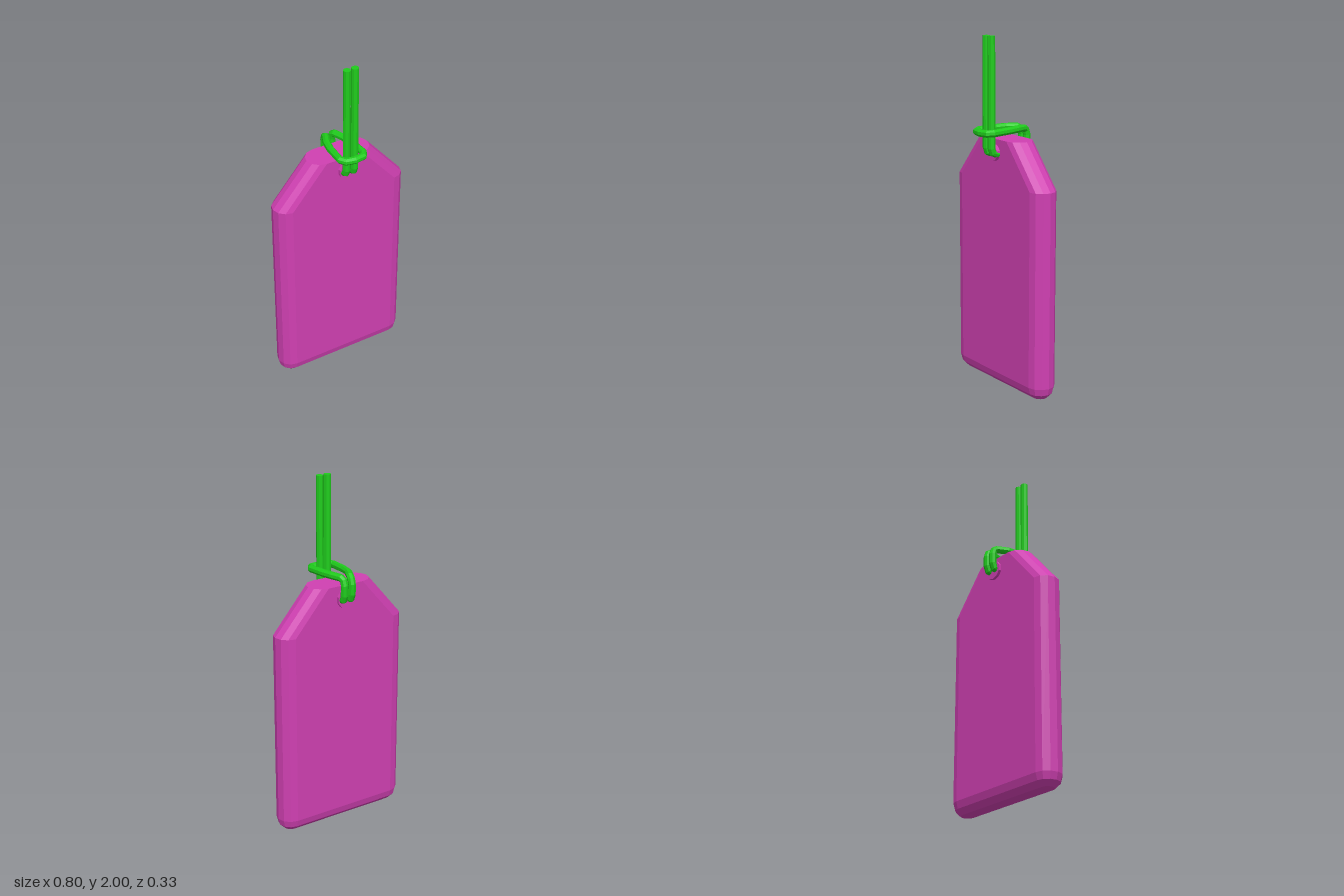
import * as THREE from 'three';

const PINK = 0xd040b2, GREEN = 0x1fcc1c;
const mat = (color) => new THREE.MeshStandardMaterial({ color, flatShading: true });

// Straight-segmented path that puts exactly one tube ring on each point
class Polyline extends THREE.Curve {
  constructor(points) { super(); this.points = points; }
  getPointAt(u) { return this.points[Math.round(u * (this.points.length - 1))].clone(); }
  getTangentAt(u) {
    const p = this.points, i = Math.round(u * (p.length - 1)), t = new THREE.Vector3();
    if (i > 0) t.add(p[i].clone().sub(p[i - 1]).normalize());
    if (i < p.length - 1) t.add(p[i + 1].clone().sub(p[i]).normalize());
    return t.normalize();
  }
}

// Slab with semicircular edges, lofted from stadium-shaped rings
function tagBody() {
  const R = 0.08, core = 0.322, arc = 6, n = 2 * (arc + 1);
  const rings = [];
  for (let i = 0; i <= 3; i++) {
    const a = (i / 3) * Math.PI / 2;
    rings.push([0.085 - R * Math.cos(a), Math.max(R * Math.sin(a), 0.001), core]);
  }
  rings.push([1.19, R, core], [1.435, R, 0.11]);
  const pos = [], idx = [];
  for (const [y, r, c] of rings) {
    for (const side of [1, -1]) {
      for (let k = 0; k <= arc; k++) {
        const a = -Math.PI / 2 + (k / arc) * Math.PI;
        pos.push(side * (c + r * Math.cos(a)), y, -0.03 + side * r * Math.sin(a));
      }
    }
  }
  for (let j = 0; j < rings.length - 1; j++) {
    for (let k = 0; k < n; k++) {
      const a = j * n + k, b = j * n + (k + 1) % n;
      idx.push(a, a + n, b, b, a + n, b + n);
    }
  }
  const top = (rings.length - 1) * n;
  for (let k = 1; k < n - 1; k++) {
    idx.push(top, top + k + 1, top + k);
    idx.push(0, k, k + 1);
  }
  const g = new THREE.BufferGeometry();
  g.setAttribute('position', new THREE.Float32BufferAttribute(pos, 3));
  g.setIndex(idx);
  g.computeVertexNormals();
  return g;
}

// One cord: down the front, through the hole, round the strands and back
function cordGeometry() {
  const strand = (x) => [
    [x, 2, 0.093], [x, 1.39, 0.093], [x, 1.365, 0.085], [x, 1.355, 0.06],
    [x, 1.355, -0.11], [x, 1.362, -0.135], [x, 1.39, -0.145],
    [x, 1.445, -0.146], [x, 1.473, -0.138],
  ];
  const loop = [
    [-0.02, 1.484, -0.12], [-0.048, 1.485, -0.06], [-0.06, 1.483, 0],
    [-0.065, 1.48, 0.11], [-0.045, 1.478, 0.138], [0.005, 1.477, 0.147],
    [0.06, 1.478, 0.14], [0.078, 1.48, 0.11], [0.068, 1.483, 0],
    [0.057, 1.485, -0.06], [0.038, 1.484, -0.12],
  ];
  const pts = [...strand(-0.015), ...loop, ...strand(0.033).reverse()]
    .map((p) => new THREE.Vector3(...p));
  const sides = 8;
  const g = new THREE.TubeGeometry(new Polyline(pts), pts.length - 1, 0.021, sides, false);
  // Close both cut ends
  const idx = Array.from(g.index.array), last = (pts.length - 1) * (sides + 1);
  for (let k = 1; k < sides - 1; k++) {
    idx.push(0, k, k + 1, last, last + k + 1, last + k);
  }
  g.setIndex(idx);
  return g;
}

export function createModel() {
  const model = new THREE.Group();
  model.name = 'hangTag';
  const add = (name, geometry, color) => {
    const m = new THREE.Mesh(geometry, mat(color));
    m.name = name;
    model.add(m);
    return m;
  };

  add('tagBody', tagBody(), PINK);

  // Eyelet plug standing slightly proud of both faces
  const eyelet = add('eyelet', new THREE.CylinderGeometry(0.047, 0.055, 0.197, 10), PINK);
  eyelet.rotation.x = Math.PI / 2;
  eyelet.position.set(0.005, 1.36, -0.0285);

  add('cord', cordGeometry(), GREEN);
  return model;
}
